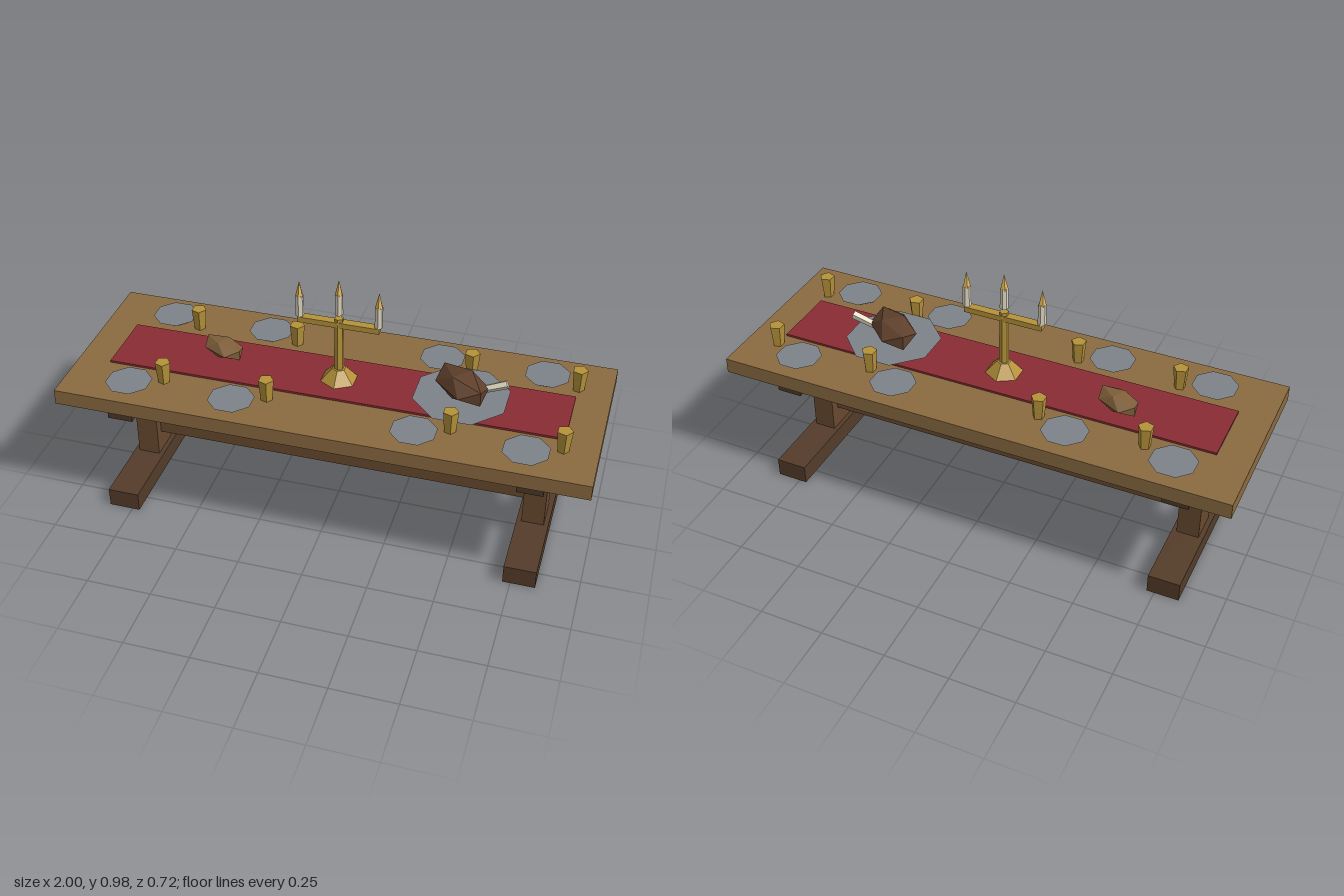
import * as THREE from 'three';

const mat = (color) => new THREE.MeshStandardMaterial({ color, flatShading: true });
const M = {
  top: mat(0x8a6a40), apron: mat(0x4c3827), beam: mat(0x68492f), foot: mat(0x543c29),
  cloth: mat(0x8a2c33), pewter: mat(0x7d838a), gold: mat(0xb5923a), wax: mat(0xddd6c0),
  flame: mat(0xe2b65c), roast: mat(0x5e3f2b), bread: mat(0x80603a),
};

export function createModel() {
  const table = new THREE.Group();
  table.name = 'banquetTable';

  const add = (name, geometry, material, x, y, z, parent = table) => {
    const mesh = new THREE.Mesh(geometry, material);
    mesh.name = name;
    mesh.position.set(x, y, z);
    parent.add(mesh);
    return mesh;
  };
  // Box spanning y0..y1, centred on x and z
  const box = (name, material, w, y0, y1, d, x = 0, z = 0, parent = table) =>
    add(name, new THREE.BoxGeometry(w, y1 - y0, d), material, x, (y0 + y1) / 2, z, parent);
  // Tapered prism spanning y0..y1
  const prism = (name, material, rTop, rBottom, y0, y1, sides, x = 0, z = 0, parent = table) =>
    add(name, new THREE.CylinderGeometry(rTop, rBottom, y1 - y0, sides), material, x, (y0 + y1) / 2, z, parent);

  // Table top, apron and stretcher
  box('tableTop', M.top, 2, 0.485, 0.545, 0.72);
  box('apron', M.apron, 1.87, 0.447, 0.485, 0.596);
  box('stretcher', M.beam, 1.5, 0.16, 0.223, 0.05);

  // Trestle legs and hanging cloths
  for (const s of [-1, 1]) {
    const trestle = new THREE.Group();
    trestle.name = s > 0 ? 'leftTrestle' : 'rightTrestle';
    table.add(trestle);
    box('foot', M.foot, 0.122, 0, 0.075, 0.656, s * 0.782, 0, trestle);
    box('post', M.beam, 0.086, 0.075, 0.397, 0.124, s * 0.782, 0, trestle);
    box('cleat', M.apron, 0.098, 0.397, 0.447, 0.564, s * 0.782, 0, trestle);
    box('hangingCloth', M.cloth, 0.262, 0.378, 0.45, 0.012, s * 0.593, 0.145);
  }

  // Runner
  box('runner', M.cloth, 1.744, 0.545, 0.553, 0.262);

  // Place settings
  for (const x of [-0.75, -0.345, 0.345, 0.75]) {
    for (const s of [-1, 1]) {
      prism('plate', M.pewter, 0.088, 0.07, 0.545, 0.557, 8, x, s * 0.238).rotation.y = Math.PI / 8;
      prism('goblet', M.gold, 0.03, 0.022, 0.545, 0.633, 5, x + 0.122, s * 0.19).rotation.y = Math.PI / 2;
    }
  }

  // Platter with roast and bone
  prism('platter', M.pewter, 0.184, 0.145, 0.553, 0.571, 8, 0.468, 0).rotation.y = Math.PI / 8;
  const lump = (name, material, scale, x, y, z, turn) => {
    const mesh = add(name, new THREE.IcosahedronGeometry(1, 0), material, x, y, z);
    mesh.scale.set(...scale);
    mesh.rotation.y = turn;
  };
  lump('roast', M.roast, [0.082, 0.055, 0.135], 0.467, 0.617, -0.002, 0.82);
  const from = new THREE.Vector3(0.52, 0.6, 0);
  const to = new THREE.Vector3(0.632, 0.641, -0.014);
  const bone = add('bone', new THREE.CylinderGeometry(0.017, 0.014, from.distanceTo(to), 5), M.wax, 0, 0, 0);
  bone.position.lerpVectors(from, to, 0.5);
  bone.quaternion.setFromUnitVectors(new THREE.Vector3(0, 1, 0), to.clone().sub(from).normalize());

  // Bread loaf
  lump('bread', M.bread, [0.058, 0.037, 0.102], -0.468, 0.585, -0.032, 1.1);

  // Candelabra
  const candelabra = new THREE.Group();
  candelabra.name = 'candelabra';
  table.add(candelabra);
  prism('base', M.gold, 0.027, 0.072, 0.553, 0.602, 6, 0, 0, candelabra);
  prism('stem', M.gold, 0.017, 0.019, 0.602, 0.822, 6, 0, 0, candelabra);
  box('arm', M.gold, 0.31, 0.787, 0.809, 0.032, 0, 0, candelabra);
  for (const [x, y] of [[-0.15, 0.809], [0, 0.838], [0.15, 0.809]]) {
    prism('candle', M.wax, 0.015, 0.016, y, y + 0.085, 6, x, 0, candelabra);
    prism('flame', M.flame, 0, 0.016, y + 0.08, y + 0.145, 5, x, 0, candelabra);
  }
  return table;
}
